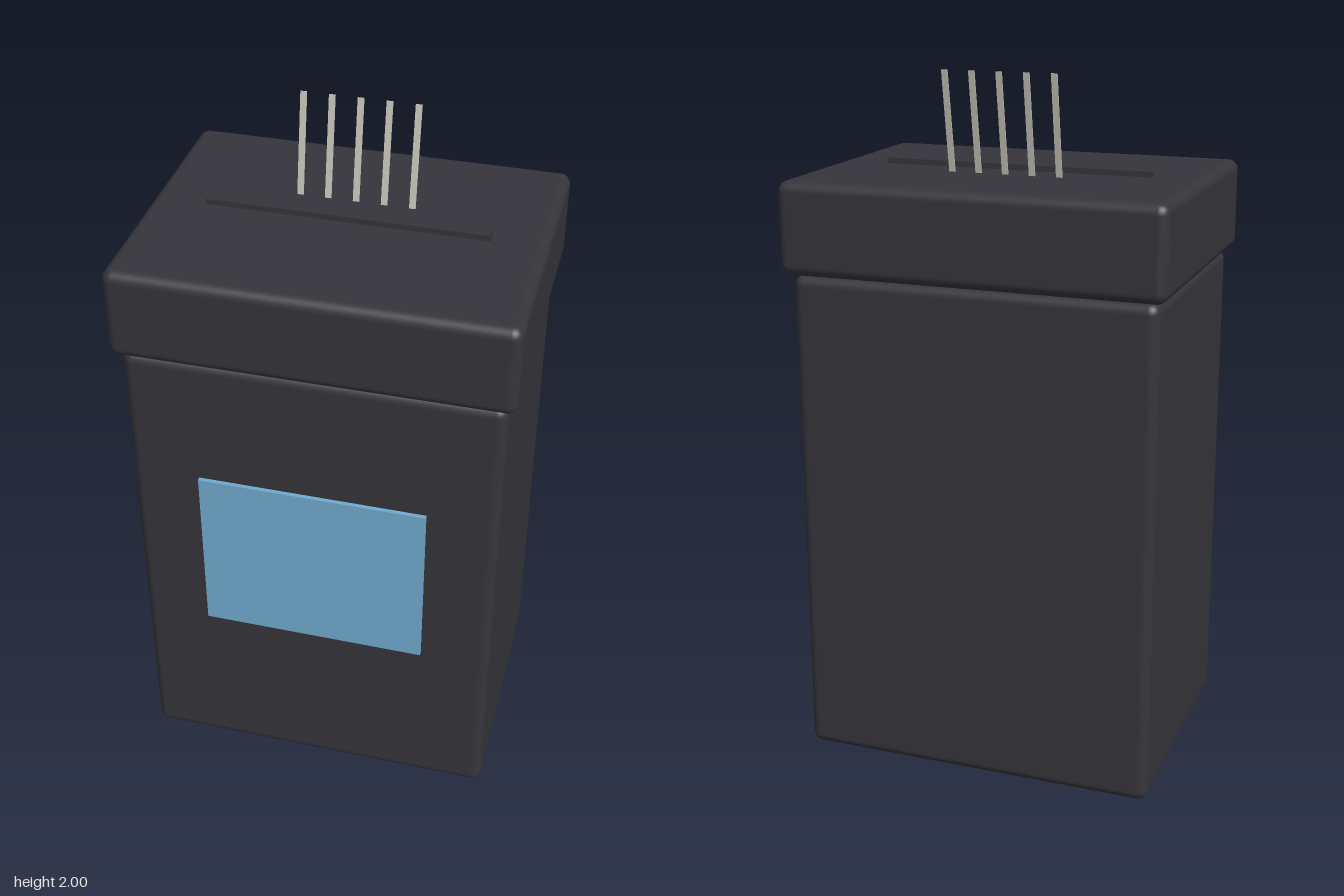
import * as THREE from 'three';
import { RoundedBoxGeometry } from 'three/addons/geometries/RoundedBoxGeometry.js';

export function createModel() {
  const group = new THREE.Group();
  const material = (name, color) => {
    const m = new THREE.MeshStandardMaterial({ color });
    m.name = name;
    return m;
  };
  const charcoal = material('charcoal plastic', 0x36353b);
  const blue = material('blue panel', 0x70abd0);
  const silver = material('pale metal', 0xc6c3b8);

  const add = (name, geometry, mat, x, y, z) => {
    const mesh = new THREE.Mesh(geometry, mat);
    mesh.name = name;
    mesh.position.set(x, y, z);
    group.add(mesh);
    return mesh;
  };

  // Rounded body and slightly wider lid
  add('body', new RoundedBoxGeometry(1.05, 1.45, 0.785, 4, 0.03), charcoal, 0, 0.725, 0);
  add('lid', new RoundedBoxGeometry(1.1, 0.262, 0.84, 4, 0.03), charcoal, 0, 1.584, 0);

  // Front panel
  add('frontPanel', new THREE.BoxGeometry(0.65, 0.53, 0.02), blue, 0, 0.795, 0.395);

  // Raised strip across the lid
  add('lidStrip', new THREE.BoxGeometry(0.79, 0.03, 0.032), charcoal, 0, 1.716, 0);

  // Row of thin blades leaning backward, from the lid top to full height
  const base = new THREE.Vector2(-0.1, 1.71);
  const tip = new THREE.Vector2(-0.151, 2);
  const length = base.distanceTo(tip);
  const lean = Math.atan2(tip.x - base.x, tip.y - base.y);
  for (let i = -2; i <= 2; i++) {
    const blade = add('blade', new THREE.BoxGeometry(0.018, length, 0.004), silver,
      i * 0.079, (base.y + tip.y) / 2, (base.x + tip.x) / 2);
    blade.rotation.x = lean;
  }
  return group;
}
